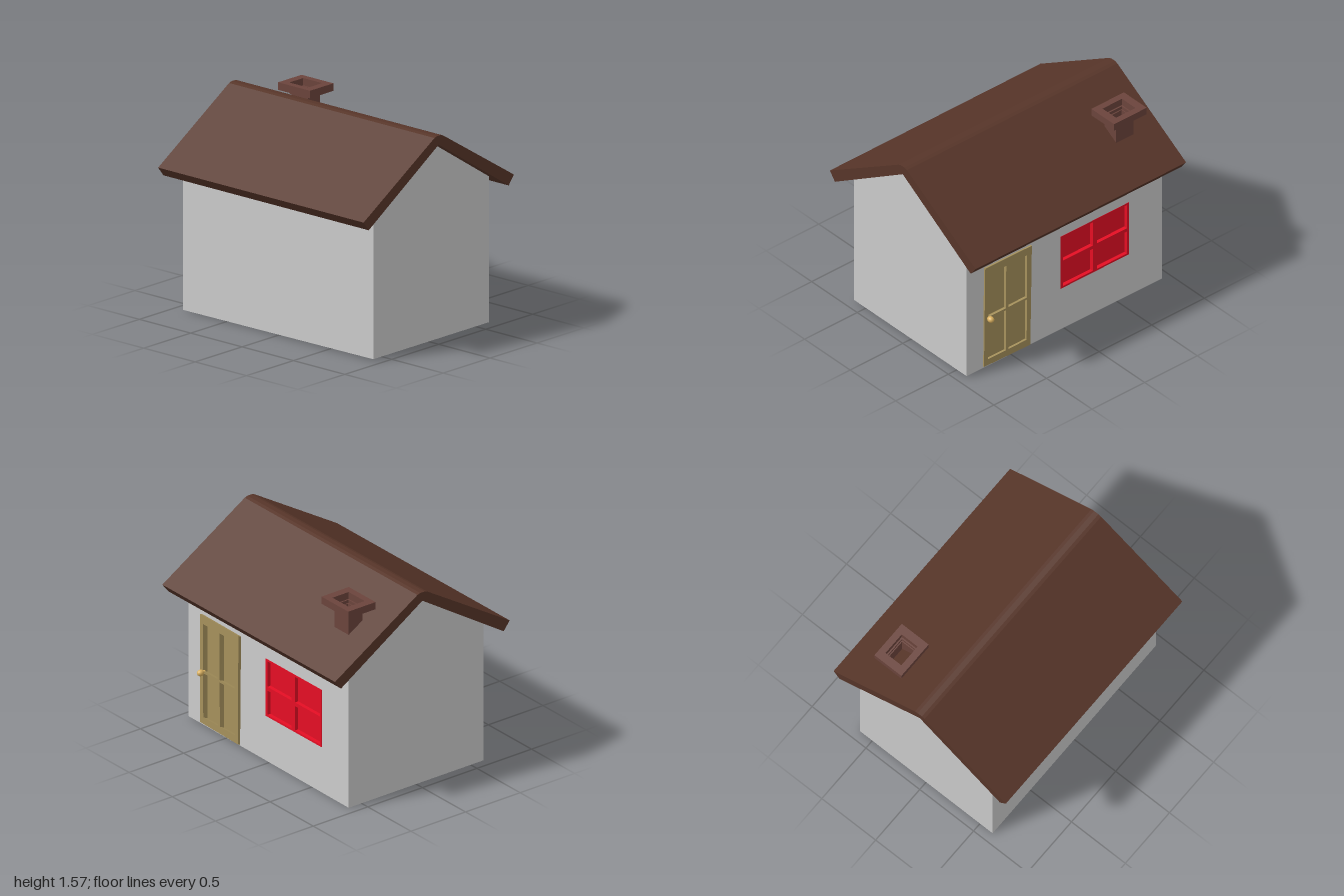
import * as THREE from 'three';

const W = 0.617, D = 0.927, EAVE = 1.107, RIDGE = 1.5, TILT = 0.012;
const mat = (color) => new THREE.MeshStandardMaterial({ color, side: THREE.DoubleSide, flatShading: true });

const rect = (u0, u1, v0, v1) => [[u0, v0], [u1, v0], [u1, v1], [u0, v1]];

function shapeOf(outline, holes = []) {
  const toV = (p) => new THREE.Vector2(p[0], p[1]);
  const s = new THREE.Shape(outline.map(toV));
  s.holes = holes.map((h) => new THREE.Path(h.map(toV)));
  return s;
}

const slab = (outline, holes, depth) =>
  new THREE.ExtrudeGeometry(shapeOf(outline, holes), { depth, bevelEnabled: false });

function add(parent, name, geometry, material, x = 0, y = 0, z = 0) {
  const m = new THREE.Mesh(geometry, material);
  m.name = name;
  m.position.set(x, y, z);
  parent.add(m);
  return m;
}

export function createModel() {
  const house = new THREE.Group();
  house.name = 'house';
  const wall = mat(0xcccccc), roofMat = mat(0x573529), brick = mat(0x6b443c);
  const red = mat(0xe60e24), wood = mat(0xa6915c), brass = mat(0xd9b060);
  brass.flatShading = false;

  // Gable walls
  const gable = (base) => new THREE.ShapeGeometry(
    shapeOf([[-W, base], [W, base], [W, EAVE], [0, RIDGE], [-W, EAVE]]));
  add(house, 'frontWall', gable(TILT), wall, 0, 0, D);
  add(house, 'backWall', gable(0), wall, 0, 0, -D).rotation.y = Math.PI;

  // Long side walls, drawn in a frame where local x runs towards the back
  const left = new THREE.Group();
  left.name = 'leftSide';
  left.rotation.y = Math.PI / 2;
  house.add(left);
  const windowHole = rect(-0.03, 0.61, 0.37, 0.82);
  const doorHole = rect(-0.745, -0.36, 0.07, 0.84);
  const side = [[-D, TILT], [D, 0], [D, EAVE], [-D, EAVE]];
  add(left, 'leftWall', new THREE.ShapeGeometry(shapeOf(side, [windowHole, doorHole])), wall, 0, 0, W);
  const mirrored = side.map(([u, v]) => [-u, v]).reverse();
  add(house, 'rightWall', new THREE.ShapeGeometry(shapeOf(mirrored)), wall, -W).rotation.y = -Math.PI / 2;

  // Floor, slightly raised at the front
  const floor = add(house, 'floor', new THREE.PlaneGeometry(2 * W, 2 * D), mat(0x6d82a8), 0, TILT / 2, 0);
  floor.rotation.x = Math.PI / 2 - TILT / (2 * D);

  // Roof: one section swept front to back, with a blunted ridge
  const half = [[0.745, 1.025], [0.8, 1.095], [0.045, 1.56], [0.02, 1.568]];
  const section = [[0, RIDGE], ...half, ...half.map(([x, y]) => [-x, y]).reverse()];
  add(house, 'roof', slab(section, [], 2), roofMat, 0, 0, -1);

  // Hollow chimney: shaft, collar and wide cap, stacked frames
  const chimney = new THREE.Group();
  chimney.name = 'chimney';
  chimney.position.set(0.427, 0, -0.685);
  house.add(chimney);
  const ring = (name, w, d, holeW, holeD, y0, y1) => {
    const g = slab(rect(-w, w, -d, d), [rect(-holeW, holeW, -holeD, holeD)], y1 - y0);
    add(chimney, name, g.rotateX(-Math.PI / 2), brick, 0, y0, 0);
  };
  ring('chimneyShaft', 0.063, 0.081, 0.055, 0.073, 1.22, 1.44);
  ring('chimneyCollar', 0.074, 0.092, 0.063, 0.081, 1.437, 1.465);
  ring('chimneyCap', 0.125, 0.155, 0.074, 0.092, 1.463, 1.52);

  // Window: flush frame with four recessed panes
  const panes = [];
  for (const [u0, u1] of [[-0.013, 0.27], [0.308, 0.595]])
    for (const [v0, v1] of [[0.38, 0.575], [0.605, 0.81]]) panes.push(rect(u0, u1, v0, v1));
  add(left, 'windowFrame', slab(rect(-0.035, 0.615, 0.365, 0.825), panes, 0.03), red, 0, 0, W - 0.028);
  add(left, 'windowPanes', new THREE.PlaneGeometry(0.65, 0.46), red, 0.29, 0.595, W - 0.027);

  // Door: crooked frame whose recess sides lean, with four sunk panels
  const panels = [];
  for (const [u0, u1] of [[-0.737, -0.568], [-0.545, -0.37]])
    for (const [v0, v1] of [[0.08, 0.437], [0.455, 0.832]]) panels.push(rect(u0, u1, v0, v1));
  const outline = [[-0.775, 0.03], [-0.335, 0.02], [-0.325, 0.895], [-0.768, 0.9]];
  const depth = 0.035;
  const frame = slab(outline, panels, depth);
  const p = frame.attributes.position;
  for (let i = 0; i < p.count; i++) {
    const back = 1 - p.getZ(i) / depth;
    p.setXY(i, p.getX(i) + 0.01 * back, p.getY(i) - 0.012 * back);
    p.setZ(i, p.getZ(i) + 0.006 * (p.getY(i) - 0.45) * (1 - back));
  }
  frame.computeVertexNormals();
  add(left, 'doorFrame', frame, wood, 0, 0, W - 0.017);
  add(left, 'doorPanels', new THREE.PlaneGeometry(0.4, 0.79), wood, -0.55, 0.455, W - 0.014);

  // Door knob on a short stem
  const knob = new THREE.SphereGeometry(0.024, 20, 14).scale(1, 1, 1.15);
  add(left, 'doorKnob', knob, brass, -0.735, 0.447, 0.66);
  const stem = new THREE.CylinderGeometry(0.011, 0.014, 0.03, 16).rotateX(Math.PI / 2);
  add(left, 'knobStem', stem, brass, -0.735, 0.447, 0.638);

  return house;
}
